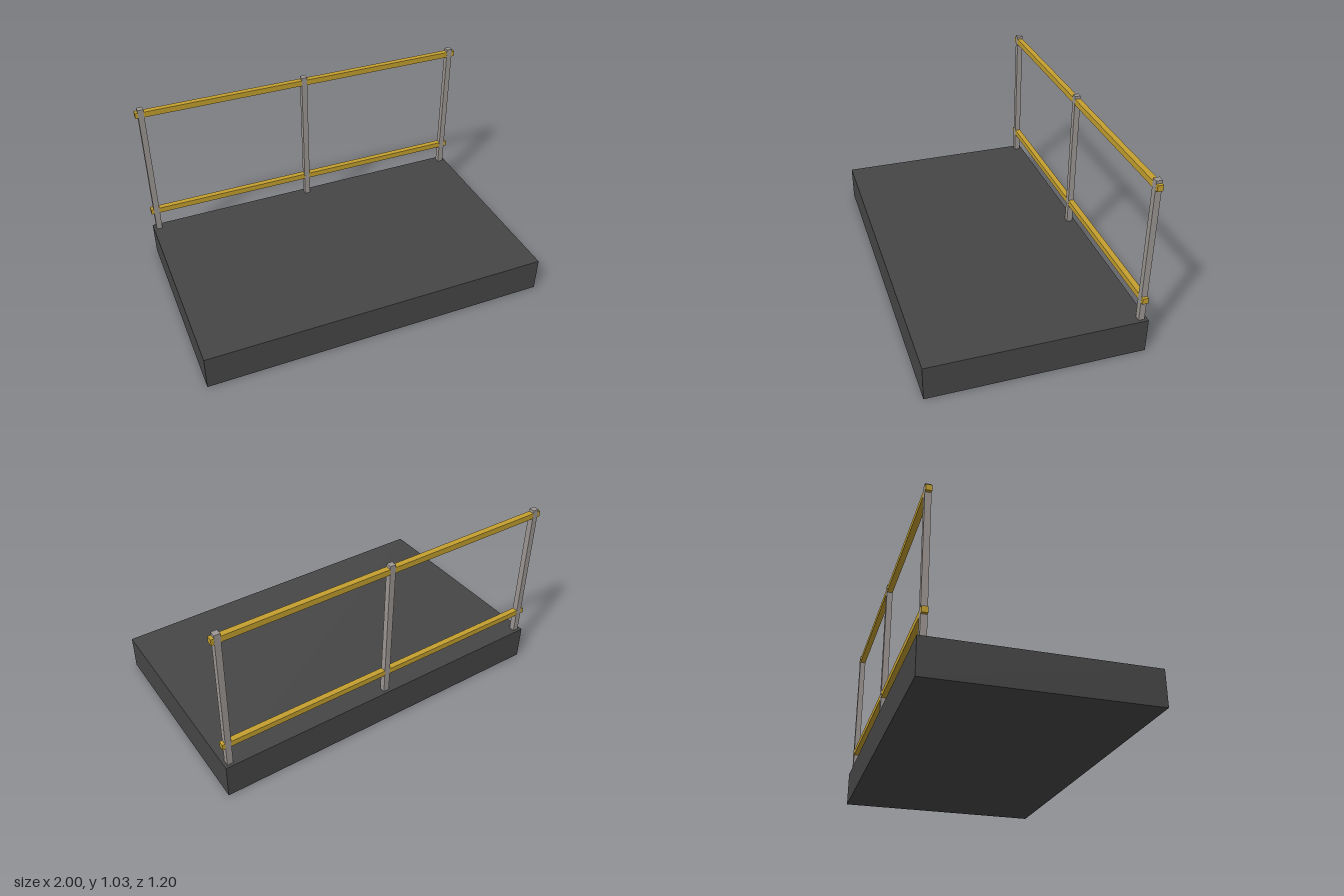
import * as THREE from 'three';

export function createModel() {
  const model = new THREE.Group();
  const paint = (name, color) => {
    const material = new THREE.MeshStandardMaterial({ color });
    material.name = name;
    return material;
  };
  const darkGrey = paint('dark grey', 0x464646);
  const steel = paint('steel grey', 0x9c9692);
  const yellow = paint('safety yellow', 0xc4a02f);

  const box = (name, material, [w, h, d], [x, y, z]) => {
    const mesh = new THREE.Mesh(new THREE.BoxGeometry(w, h, d), material);
    mesh.name = name;
    mesh.position.set(x, y, z);
    model.add(mesh);
  };

  // Platform slab
  box('platform', darkGrey, [2, 0.2, 1.2], [0, 0.1, 0]);

  // Square posts along the rear edge
  const bar = 0.0333, railZ = -0.5667;
  const posts = { rightPost: -0.9667, middlePost: 0, leftPost: 0.9667 };
  for (const [name, x] of Object.entries(posts)) {
    box(name, steel, [bar, 0.8333, bar], [x, 0.6167, railZ]);
  }

  // Rails run through the posts, a hair thinner so the post faces stay on top
  box('topRail', yellow, [2, bar, bar - 0.001], [0, 1, railZ]);
  box('lowerRail', yellow, [2, bar, bar - 0.001], [0, 0.3333, railZ]);

  return model;
}
